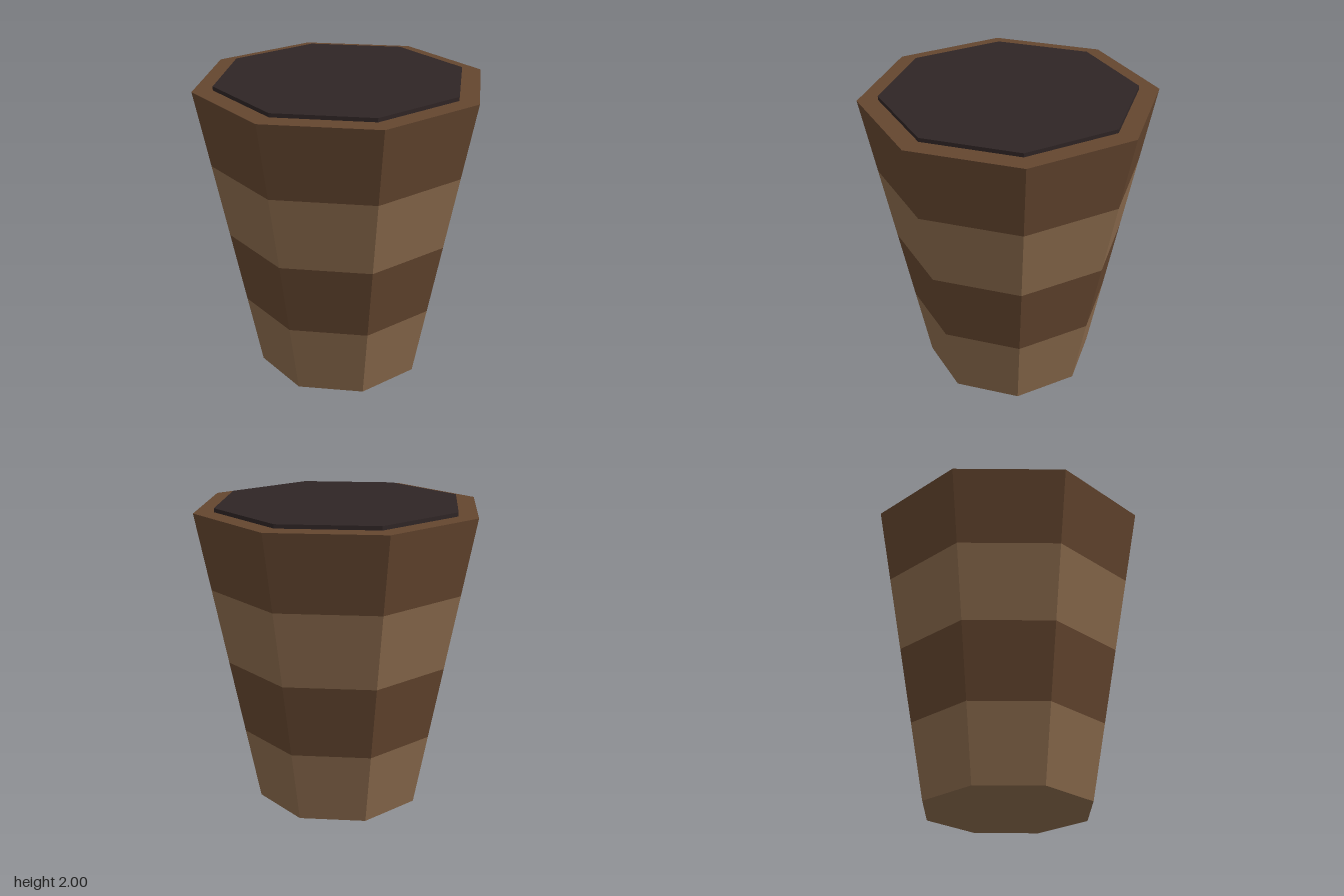
import * as THREE from 'three';

export function createModel() {
  const model = new THREE.Group();
  model.name = 'plantPot';

  const material = (name, color) => {
    const m = new THREE.MeshStandardMaterial({ color, flatShading: true });
    m.name = name;
    return m;
  };
  const darkWood = material('darkWood', 0x64462f);
  const lightWood = material('lightWood', 0x8b6b4d);
  const soil = material('soil', 0x2f2525);

  const SIDES = 8, BOTTOM = 0.563, TOP = 0.937, HEIGHT = 1.975;
  const SOIL_RADIUS = 0.807;
  const radiusAt = (y) => BOTTOM + (TOP - BOTTOM) * (y / HEIGHT);

  // Tapered wall, in four alternating bands
  const bands = 4;
  for (let i = 0; i < bands; i++) {
    const y0 = (HEIGHT * i) / bands, y1 = (HEIGHT * (i + 1)) / bands;
    const band = new THREE.Mesh(
      new THREE.CylinderGeometry(radiusAt(y1), radiusAt(y0), y1 - y0, SIDES, 1, true),
      i % 2 ? darkWood : lightWood
    );
    band.name = `wallBand${i + 1}`;
    band.position.y = (y0 + y1) / 2;
    model.add(band);
  }

  // Base closing the pot, facing down
  const base = new THREE.Mesh(new THREE.CircleGeometry(BOTTOM, SIDES), lightWood);
  base.name = 'base';
  base.rotation.x = Math.PI / 2;
  model.add(base);

  // Flat rim around the soil
  const rim = new THREE.Mesh(new THREE.RingGeometry(SOIL_RADIUS, TOP, SIDES), darkWood);
  rim.name = 'rim';
  rim.rotation.x = -Math.PI / 2;
  rim.position.y = HEIGHT;
  model.add(rim);

  // Soil slab standing slightly above the rim
  const soilHeight = 2 - HEIGHT;
  const slab = new THREE.Mesh(
    new THREE.CylinderGeometry(SOIL_RADIUS, SOIL_RADIUS, soilHeight, SIDES),
    soil
  );
  slab.name = 'soil';
  slab.position.y = HEIGHT + soilHeight / 2;
  model.add(slab);

  return model;
}
